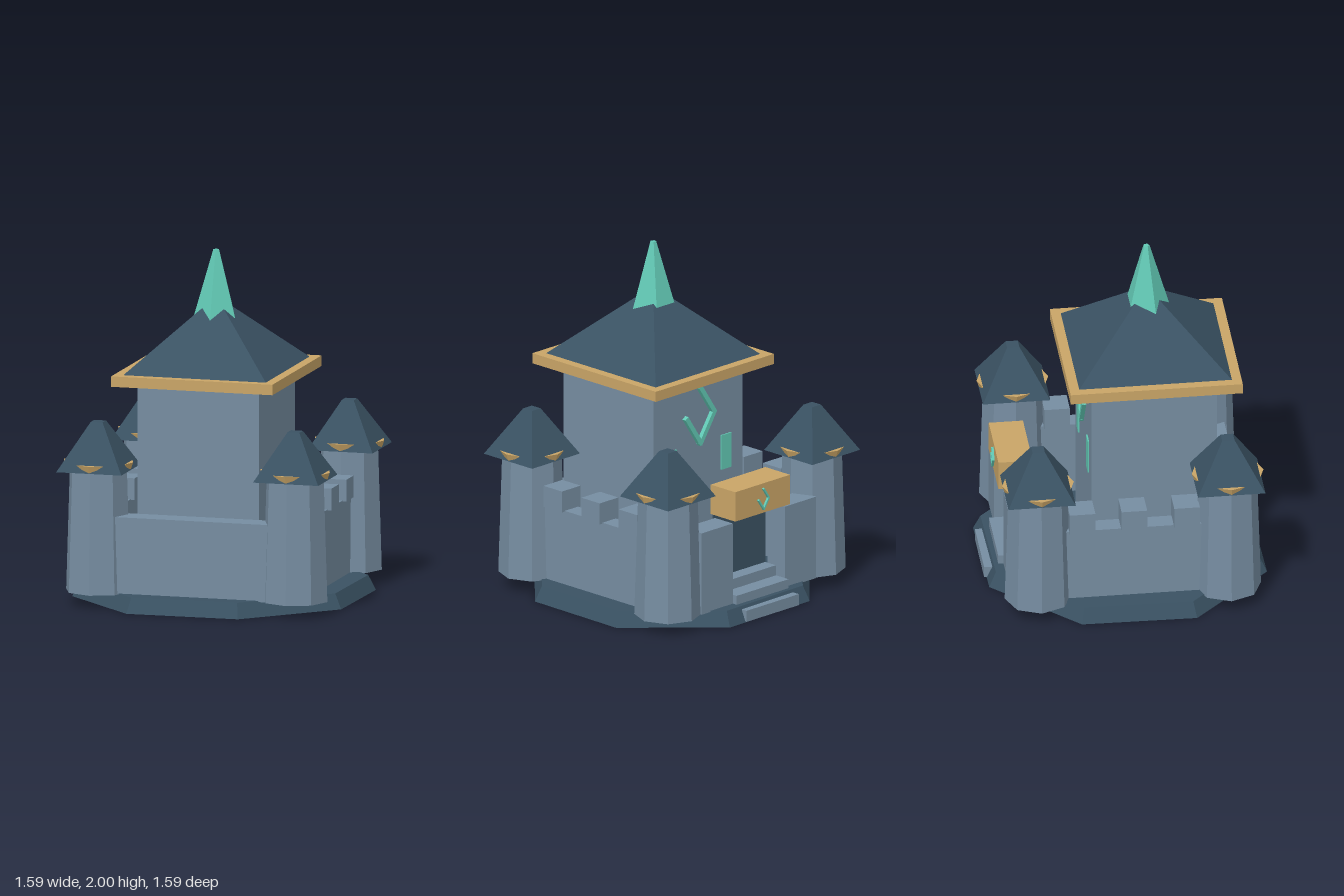
import * as THREE from 'three';

const mat = (name, color) => {
  const m = new THREE.MeshStandardMaterial({ color });
  m.name = name;
  return m;
};

export function createModel() {
  const stone = mat('stone', 0x768da1);
  const slate = mat('slate', 0x3a5263);
  const gold = mat('gold', 0xc9a567);
  const teal = mat('teal', 0x62c9b5);

  const root = new THREE.Group();
  root.name = 'castle';

  const add = (name, geo, material, parent = root) => {
    const mesh = new THREE.Mesh(geo, material);
    mesh.name = name;
    parent.add(mesh);
    return mesh;
  };
  // Box given by its min and max on each axis
  const box = (name, material, x0, x1, y0, y1, z0, z1, parent = root) => {
    const geo = new THREE.BoxGeometry(x1 - x0, y1 - y0, z1 - z0);
    geo.translate((x0 + x1) / 2, (y0 + y1) / 2, (z0 + z1) / 2);
    return add(name, geo, material, parent);
  };
  // Faceted frustum from y0 to y1, with flat face normals
  const frustum = (rBottom, rTop, y0, y1, sides, turn = 0) => {
    const geo = new THREE.CylinderGeometry(rTop, rBottom, y1 - y0, sides).toNonIndexed();
    geo.rotateY(turn).translate(0, (y0 + y1) / 2, 0);
    geo.computeVertexNormals();
    return geo;
  };

  // Plinth: an octagon stretched slightly along one diagonal
  const plinth = frustum(0.853, 0.81, 0, 0.087, 8, Math.PI / 8);
  plinth.rotateY(-Math.PI / 4).scale(0.985, 1, 1.018);
  plinth.rotateY(Math.PI / 4);
  // The stretched axis must run from +x -z to -x +z
  plinth.rotateY(Math.PI / 2);
  plinth.computeVertexNormals();
  add('plinth', plinth, slate);

  // Keep with trim, roof and spire
  const keep = new THREE.Group();
  keep.name = 'keep';
  keep.position.z = 0.15;
  root.add(keep);
  box('keepBody', stone, -0.358, 0.358, 0.08, 1.28, -0.358, 0.358, keep);
  box('keepTrim', gold, -0.475, 0.475, 1.27, 1.33, -0.49, 0.49, keep);
  const roof = frustum(0.42 * Math.SQRT2, 0.01, 1.33, 1.725, 4, Math.PI / 4);
  roof.scale(1, 1, 1.035);
  add('keepRoof', roof, slate, keep);
  add('spire', frustum(0.156, 0.018, 1.52, 2, 5), teal, keep);

  // Four corner towers
  for (const sx of [-1, 1]) for (const sz of [-1, 1]) {
    const tower = new THREE.Group();
    tower.name = 'cornerTower';
    tower.position.set(sx * 0.58, 0, sz * 0.54);
    root.add(tower);
    add('towerShaft', frustum(0.19, 0.168, 0.08, 0.79, 8), stone, tower);
    add('towerRoof', frustum(0.192 * Math.SQRT2, 0.035 * Math.SQRT2, 0.78, 1.05, 4, Math.PI / 4), slate, tower);
    // Pointed gold ornament on the middle of each eave
    for (let i = 0; i < 4; i++) {
      const geo = frustum(0.02, 0.0925, 0.782, 0.823, 3);
      geo.scale(1, 1, 0.2).translate(0, 0, 0.186);
      geo.computeVertexNormals();
      add('eaveOrnament', geo, gold, tower).rotation.y = i * Math.PI / 2;
    }
  }

  // Curtain walls, with merlons on the two sides
  box('frontWall', stone, -0.5, 0.5, 0.08, 0.525, 0.51, 0.65);
  for (const s of [-1, 1]) {
    const xc = s * 0.58;
    box('sideWall', stone, xc - 0.053, xc + 0.053, 0.08, 0.525, -0.45, 0.45);
    for (const z of [-0.295, 0, 0.3]) {
      box('merlon', stone, xc - 0.075, xc + 0.075, 0.52, 0.645, z - 0.073, z + 0.073);
    }
    const xb = s * 0.335;
    box('backWall', stone, xb - 0.125, xb + 0.125, 0.08, 0.565, -0.69, -0.55);
  }

  // Gate at the back: steps, door and beam
  box('lowerStep', stone, -0.21, 0.21, 0.004, 0.07, -0.8, -0.7);
  box('middleStep', stone, -0.209, 0.209, 0.08, 0.14, -0.72, -0.45);
  box('upperStep', stone, -0.208, 0.208, 0.135, 0.2, -0.62, -0.44);
  box('gateDoor', slate, -0.209, 0.209, 0.2, 0.59, -0.535, -0.527);
  box('gateBeam', gold, -0.22, 0.22, 0.585, 0.76, -0.72, -0.525);

  // Open diamond of three bars, in the plane of the back face
  const emblem = (name, y, z, size) => {
    const group = new THREE.Group();
    group.name = name;
    group.position.set(0, y, z);
    root.add(group);
    const pts = [[0.11, 0], [0, -0.165], [-0.11, 0], [0, 0.165]];
    for (let i = 0; i < 3; i++) {
      const [ax, ay] = pts[i], [bx, by] = pts[i + 1];
      const len = Math.hypot(bx - ax, by - ay) + 0.02;
      const bar = add('emblemBar', new THREE.BoxGeometry(len * size, 0.028 * size, size < 1 ? 0.014 : 0.03), teal, group);
      bar.position.set((ax + bx) / 2 * size, (ay + by) / 2 * size, 0);
      bar.rotation.z = Math.atan2(by - ay, bx - ax);
    }
  };
  emblem('keepEmblem', 1.05, -0.218, 1);
  emblem('beamEmblem', 0.67, -0.727, 0.36);

  // Keep windows at the back
  for (const s of [-1, 1]) {
    box('keepWindow', teal, s * 0.22 - 0.04, s * 0.22 + 0.04, 0.68, 0.885, -0.216, -0.207);
  }
  return root;
}
